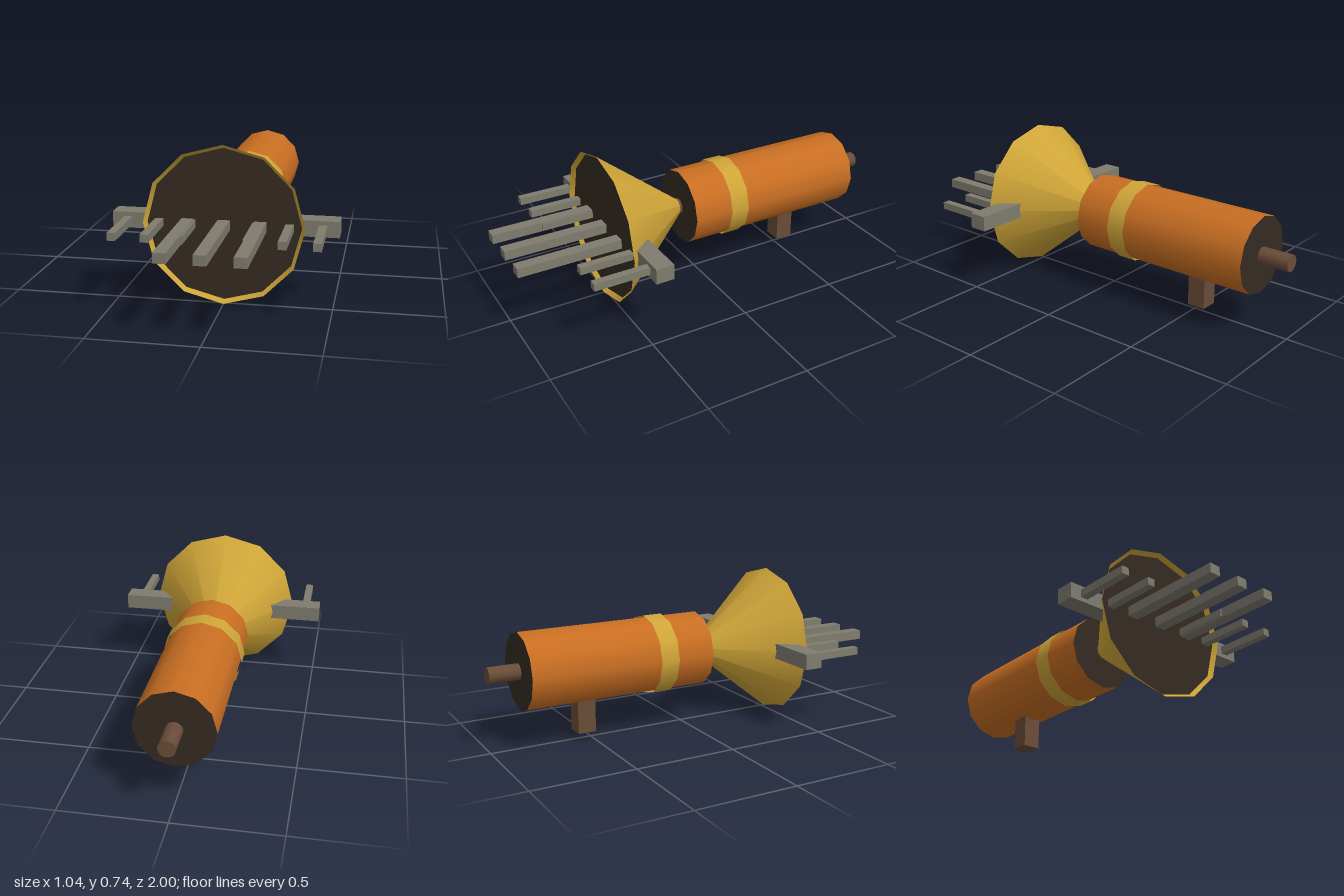
import * as THREE from 'three';

const AXIS_Y = 0.376;

function material(name, color, side = THREE.FrontSide) {
  const m = new THREE.MeshStandardMaterial({ color, side });
  m.name = name;
  return m;
}

export function createModel() {
  const model = new THREE.Group();
  model.name = 'beamDevice';
  const orange = material('orange', 0xc86e22);
  const gold = material('gold', 0xcfa538, THREE.DoubleSide);
  const dark = material('darkBrown', 0x352b22);
  const brown = material('brown', 0x6a4c38);
  const grey = material('grey', 0x7f7c6e);

  function add(name, geometry, mat) {
    const mesh = new THREE.Mesh(geometry, mat);
    mesh.name = name;
    model.add(mesh);
    return mesh;
  }

  // Cylinder or cone along z, on the main axis
  function tube(name, mat, rFront, rBack, zFront, zBack, sides = 12, open = false) {
    const g = new THREE.CylinderGeometry(rFront, rBack, zFront - zBack, sides, 1, open);
    g.rotateX(Math.PI / 2);
    g.translate(0, AXIS_Y, (zFront + zBack) / 2);
    return add(name, g, mat);
  }

  // Box with its z range given
  function bar(name, mat, x, y, w, h, zBack, zFront) {
    const g = new THREE.BoxGeometry(w, h, zFront - zBack);
    g.translate(x, y, (zFront + zBack) / 2);
    return add(name, g, mat);
  }

  // Body with dark end caps, band, core rod and foot
  tube('body', [orange, dark, dark], 0.186, 0.186, 0.085, -0.85);
  tube('band', gold, 0.195, 0.195, -0.11, -0.205, 12, true);
  tube('coreRod', brown, 0.04, 0.04, 0.11, -1, 12);
  bar('foot', brown, 0, 0.125, 0.09, 0.17, -0.58, -0.49);

  // Open dish with a recessed dark face
  tube('dish', gold, 0.372, 0.002, 0.515, 0.05, 12, true);
  const face = new THREE.CircleGeometry(0.355, 12, Math.PI / 2);
  face.translate(0, AXIS_Y, 0.494);
  add('dishFace', face, dark);

  // Cross bar through the dish
  bar('crossBar', grey, 0, AXIS_Y, 1.044, 0.075, 0.395, 0.485);

  // Long and short prongs
  for (const x of [-0.167, 0, 0.167]) bar('longProng', grey, x, AXIS_Y, 0.056, 0.046, 0.47, 1);
  for (const side of [-1, 1]) {
    for (const x of [0.149, 0.299, 0.447]) {
      bar('shortProng', grey, side * x, AXIS_Y, 0.037, 0.036, 0.47, 0.755);
    }
  }
  return model;
}
